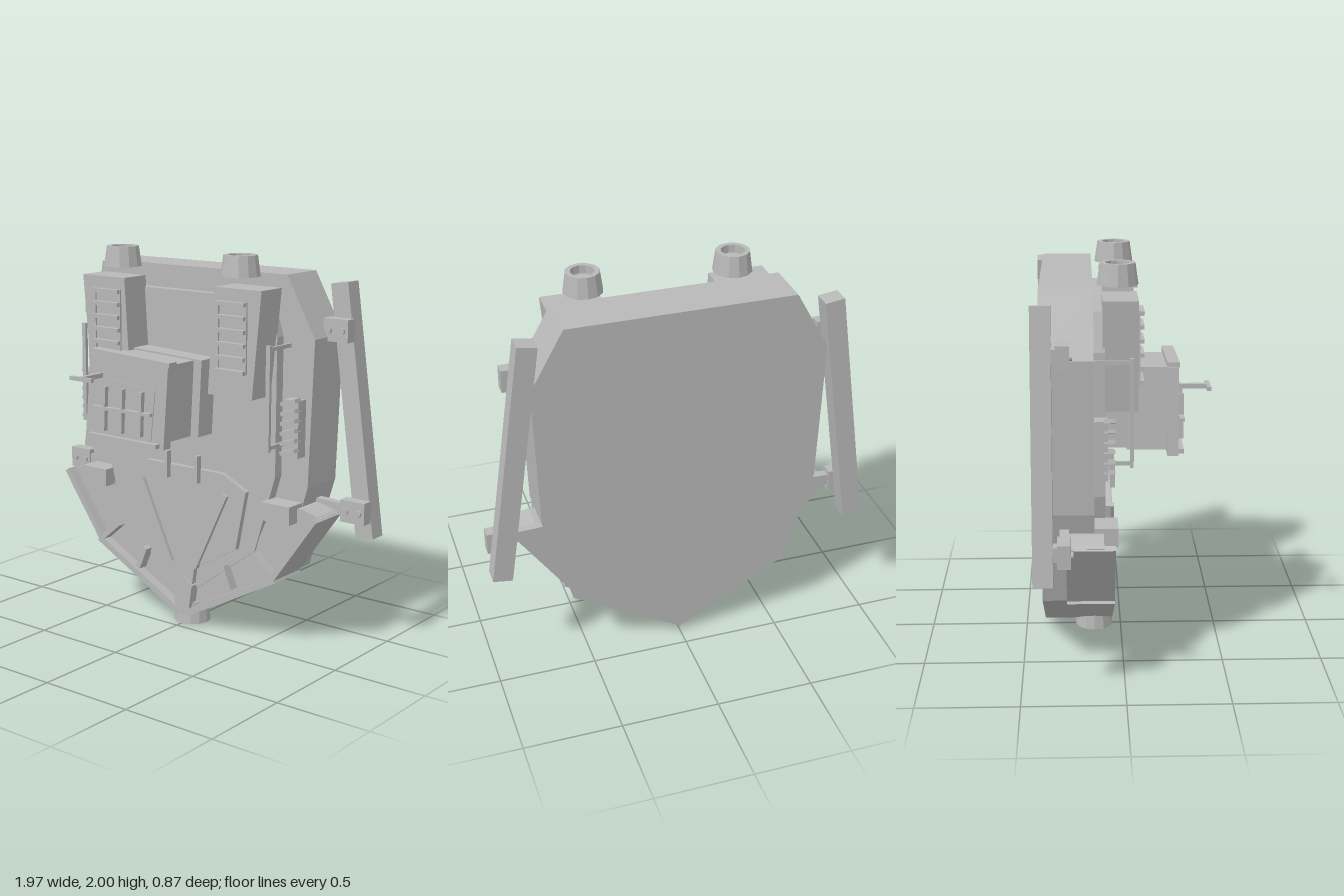
import * as THREE from 'three';

export function createModel() {
  const model = new THREE.Group();
  model.name = 'backpack';
  const grey = new THREE.MeshStandardMaterial({ color: 0xb8b8b8 });
  grey.name = 'plain grey';

  const add = (name, geometry) => {
    const mesh = new THREE.Mesh(geometry, grey);
    mesh.name = name;
    model.add(mesh);
    return mesh;
  };
  // Flat outline in x and y, extruded from z0 to z1
  const plate = (name, points, z0, z1) => {
    const shape = new THREE.Shape(points.map(([x, y]) => new THREE.Vector2(x, y)));
    const geometry = new THREE.ExtrudeGeometry(shape, { depth: z1 - z0, bevelEnabled: false });
    return add(name, geometry.translate(0, 0, z0));
  };
  // Box given by its limits
  const block = (name, x0, x1, y0, y1, z0, z1) => {
    const mesh = add(name, new THREE.BoxGeometry(Math.abs(x1 - x0), y1 - y0, z1 - z0));
    mesh.position.set((x0 + x1) / 2, (y0 + y1) / 2, (z0 + z1) / 2);
    return mesh;
  };
  // Straight bar between two points in x and y
  const bar = (name, [ax, ay], [bx, by], width, z0, z1) => {
    const mesh = add(name, new THREE.BoxGeometry(Math.hypot(bx - ax, by - ay), width, z1 - z0));
    mesh.position.set((ax + bx) / 2, (ay + by) / 2, (z0 + z1) / 2);
    mesh.rotation.z = Math.atan2(by - ay, bx - ax);
    return mesh;
  };
  // Half outline, from top to bottom, completed by its mirror image
  const symmetric = (half) => [...half, ...half.filter((p) => p[0] > 0).reverse().map(([x, y]) => [-x, y])];
  // Hollow, tapered twelve-sided nozzle
  const nozzle = (name, x, y0, y1, z, r0, r1) => {
    const wall = 0.025, mid = (y0 + y1) / 2;
    const profile = [[0, mid], [r0 - wall, mid], [r0 - wall, y0], [r0, y0], [r1, y1], [r1 - wall, y1], [r1 - wall, mid + 0.01], [0, mid + 0.01]];
    const geometry = new THREE.LatheGeometry(profile.map(([r, y]) => new THREE.Vector2(r, y)), 12).toNonIndexed();
    geometry.computeVertexNormals();
    add(name, geometry).position.set(x, 0, z);
  };

  // Main body
  plate('hull', symmetric([[0.575, 1.905], [0.745, 1.6], [0.72, 0.85], [0.575, 0.36], [0, 0.03]]), -0.4, -0.145);
  plate('frontPlate', symmetric([[0.5, 1.785], [0.56, 1.6], [0.56, 0.89], [0.44, 0.48], [0, 0.15]]), -0.15, -0.09);
  plate('lowerPanel', symmetric([[0.25, 0.865], [0.4, 0.79], [0.34, 0.475], [0.07, 0.32], [0.055, 0.22]]), -0.1, -0.06);
  plate('nosePlate', [[0, 0.27], [0.065, 0.22], [0.04, 0.05], [-0.04, 0.05], [-0.065, 0.22]], -0.2, -0.045);
  nozzle('bottomNozzle', 0, 0, 0.12, -0.14, 0.098, 0.085);

  for (const s of [1, -1]) {
    const p = (x, y) => [s * x, y];

    // Lower wing with rim and ribs
    plate('wing', [p(0.83, 0.72), p(0.57, 0.36), p(0, 0.04), p(0, 0.16), p(0.43, 0.48), p(0.54, 0.74), p(0.72, 0.75)], -0.28, -0.1);
    bar('wingUpperRim', p(0.825, 0.72), p(0.575, 0.365), 0.03, -0.28, -0.045);
    bar('wingLowerRim', p(0.59, 0.365), p(0.025, 0.06), 0.035, -0.28, -0.045);
    bar('wingRib', p(0.57, 0.37), p(0.455, 0.47), 0.03, -0.12, -0.045);
    bar('wingRib', p(0.31, 0.25), p(0.26, 0.37), 0.03, -0.12, -0.045);
    bar('panelBar', p(0.28, 0.76), p(0.08, 0.33), 0.032, -0.07, -0.04);
    bar('panelPin', p(0.1, 0.795), p(0.1, 0.94), 0.02, -0.065, -0.03);
    block('shoulderBlock', s * 0.52, s * 0.69, 0.675, 0.77, -0.15, -0.03);

    // Engine box with grille and exhaust
    plate('engineBox', [p(0.575, 1.845), p(0.29, 1.845), p(0.255, 1.305), p(0.525, 1.305)], -0.1, 0.07);
    for (const x of [0.488, 0.318]) block('grilleSide', s * (x - 0.006), s * (x + 0.006), 1.43, 1.785, 0.065, 0.08);
    for (let i = 0; i < 6; i++) {
      const y = 1.772 - i * 0.067;
      block('grilleSlat', s * 0.315, s * 0.49, y - 0.01, y + 0.01, 0.065, 0.1);
    }
    nozzle('exhaust', s * 0.38, 1.895, 2, -0.025, 0.1, 0.085);

    // Side rail on two standoffs
    block('sideRail', s * 0.588, s * 0.612, 1.05, 1.58, 0.028, 0.045);
    for (const y of [1.07, 1.56]) block('railStandoff', s * 0.593, s * 0.607, y - 0.01, y + 0.01, -0.15, 0.035);

    // Side vent with slanted slats
    block('ventBase', s * 0.615, s * 0.7, 1.01, 1.3, -0.15, -0.08);
    for (let i = 0; i < 6; i++) {
      const y = 1.03 + i * 0.05;
      bar('ventSlat', p(0.615, y), p(0.7, y + 0.025), 0.02, -0.1, -0.045);
    }

    // Slanted pole with brackets
    bar('pole', p(0.753, 1.86), p(0.938, 0.58), 0.1, -0.435, -0.34);
    for (const [x, y] of [[0.79, 1.637], [0.913, 0.733]]) {
      block('poleBracket', s * (x - 0.07), s * (x + 0.07), y - 0.057, y + 0.057, -0.32, -0.257);
      block('bracketSpacer', s * (x - 0.035), s * (x + 0.035), y - 0.035, y + 0.035, -0.345, -0.315);
      for (const dx of [-0.038, 0.038]) {
        const stud = add('bracketStud', new THREE.CylinderGeometry(0.017, 0.017, 0.016, 12));
        stud.rotation.x = Math.PI / 2;
        stud.position.set(s * (x + dx), y, -0.252);
      }
    }
    bar('upperArm', p(0.68, 1.64), p(0.78, 1.64), 0.06, -0.31, -0.265);
    bar('lowerArm', p(0.62, 0.745), p(0.87, 0.735), 0.06, -0.31, -0.265);
  }

  // Tilted equipment box
  plate('boxBase', [[-0.27, 1.48], [0.18, 1.46], [0.16, 1.06], [-0.29, 1.06]], -0.1, 0.025);
  plate('boxBody', [[-0.29, 1.47], [0.13, 1.455], [0.11, 1.06], [-0.33, 1.06]], 0.02, 0.225);
  plate('boxLid', [[-0.345, 1.475], [0.165, 1.455], [0.135, 1.035], [-0.385, 1.04]], 0.22, 0.275);
  bar('lidLip', [-0.34, 1.49], [0.175, 1.467], 0.025, 0.22, 0.28);
  plate('lidScreen', [[-0.265, 1.36], [0.085, 1.33], [0.055, 1.06], [-0.305, 1.06]], 0.27, 0.279);

  // Grille and handle on the lid
  for (const x of [-0.235, -0.12, 0.005]) bar('lidGrilleBar', [x, 1.09], [x + 0.01, 1.32], 0.016, 0.285, 0.31);
  bar('lidGrilleCrossbar', [-0.31, 1.205], [0.075, 1.21], 0.016, 0.285, 0.31);
  bar('lidBottomBar', [-0.345, 1.053], [0.11, 1.053], 0.022, 0.27, 0.305);
  block('handleStem', -0.288, -0.262, 1.358, 1.382, 0.27, 0.425);
  block('handleGrip', -0.345, -0.2, 1.36, 1.38, 0.415, 0.435);

  return model;
}
